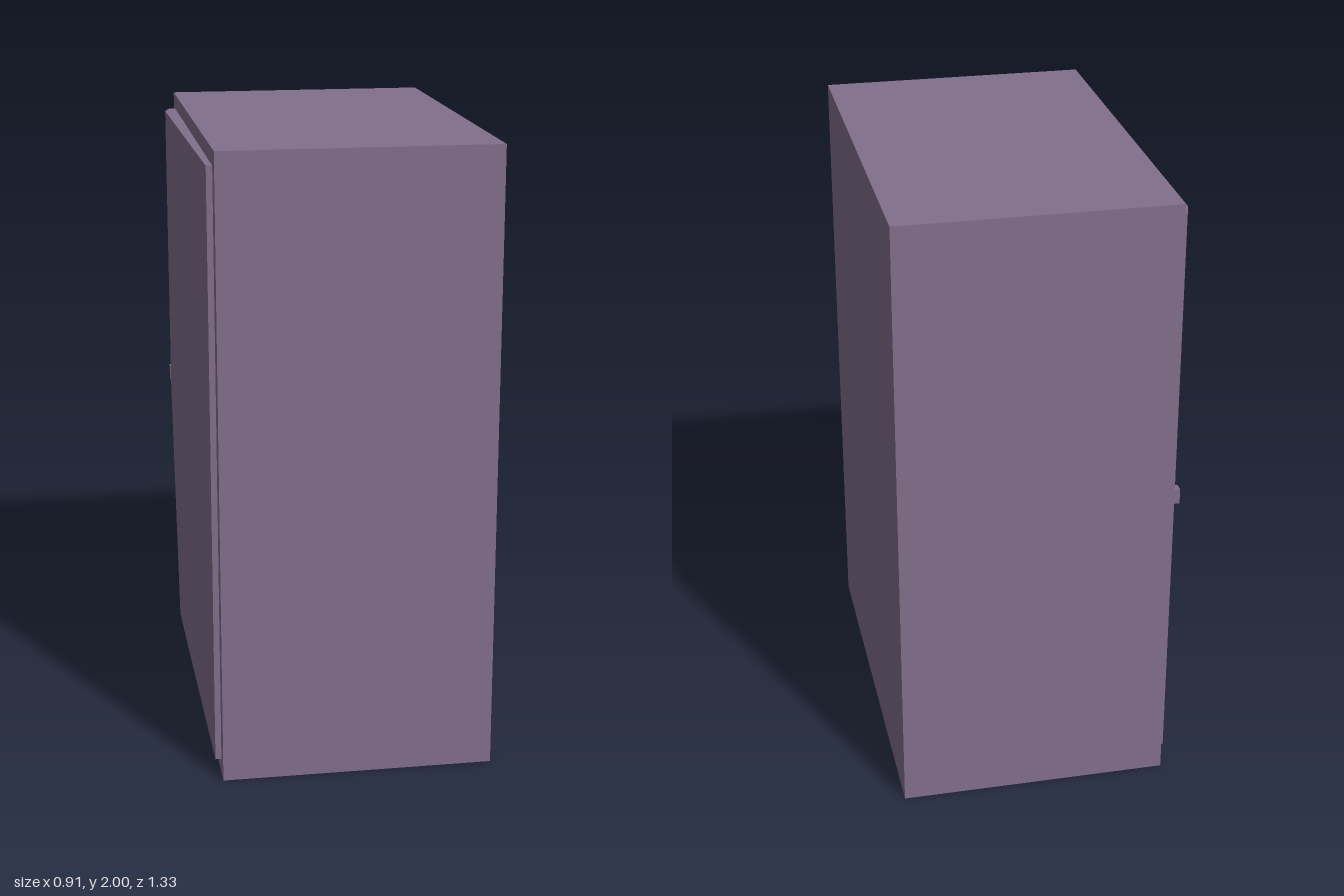
import * as THREE from 'three';

// Lofts horizontal rings of [x, z] points, counter-clockwise seen from above.
function loft(levels) {
  const pos = [];
  const tri = (...pts) => pts.forEach((p) => pos.push(...p));
  const rings = levels.map(({ y, ring }) => ring.map(([x, z]) => [x, y, z]));
  const n = rings[0].length;
  for (let k = 0; k + 1 < rings.length; k++) {
    const lo = rings[k], hi = rings[k + 1];
    for (let i = 0; i < n; i++) {
      const j = (i + 1) % n;
      tri(lo[i], lo[j], hi[j]);
      tri(lo[i], hi[j], hi[i]);
    }
  }
  const bottom = rings[0], top = rings[rings.length - 1];
  for (let i = 1; i + 1 < n; i++) {
    tri(bottom[0], bottom[i + 1], bottom[i]);
    tri(top[0], top[i], top[i + 1]);
  }
  const geo = new THREE.BufferGeometry();
  geo.setAttribute('position', new THREE.Float32BufferAttribute(pos, 3));
  geo.computeVertexNormals();
  return geo;
}

export function createModel() {
  const group = new THREE.Group();
  const paint = new THREE.MeshStandardMaterial({ color: 0x826f8c, flatShading: true });
  paint.name = 'mutedPurple';

  const add = (name, geo, x = 0, y = 0, z = 0) => {
    const mesh = new THREE.Mesh(geo, paint);
    mesh.name = name;
    mesh.position.set(x, y, z);
    group.add(mesh);
  };

  // Cabinet body
  add('cabinet', new THREE.BoxGeometry(0.866, 2, 1.334), 0.02, 1, 0);

  // Door, bowed outwards near its free edge in the upper half
  const doorRing = (crest) => [
    [-0.41, -0.62], [-0.433, -0.62], [crest, -0.56], [-0.432, 0.615], [-0.41, 0.615],
  ];
  add('door', loft([
    { y: 0.05, ring: doorRing(-0.434) },
    { y: 0.95, ring: doorRing(-0.453) },
    { y: 1.95, ring: doorRing(-0.453) },
  ]));

  // Small latch at mid height on the free edge
  add('latch', new THREE.BoxGeometry(0.043, 0.05, 0.03), -0.4315, 1, -0.6);

  return group;
}
